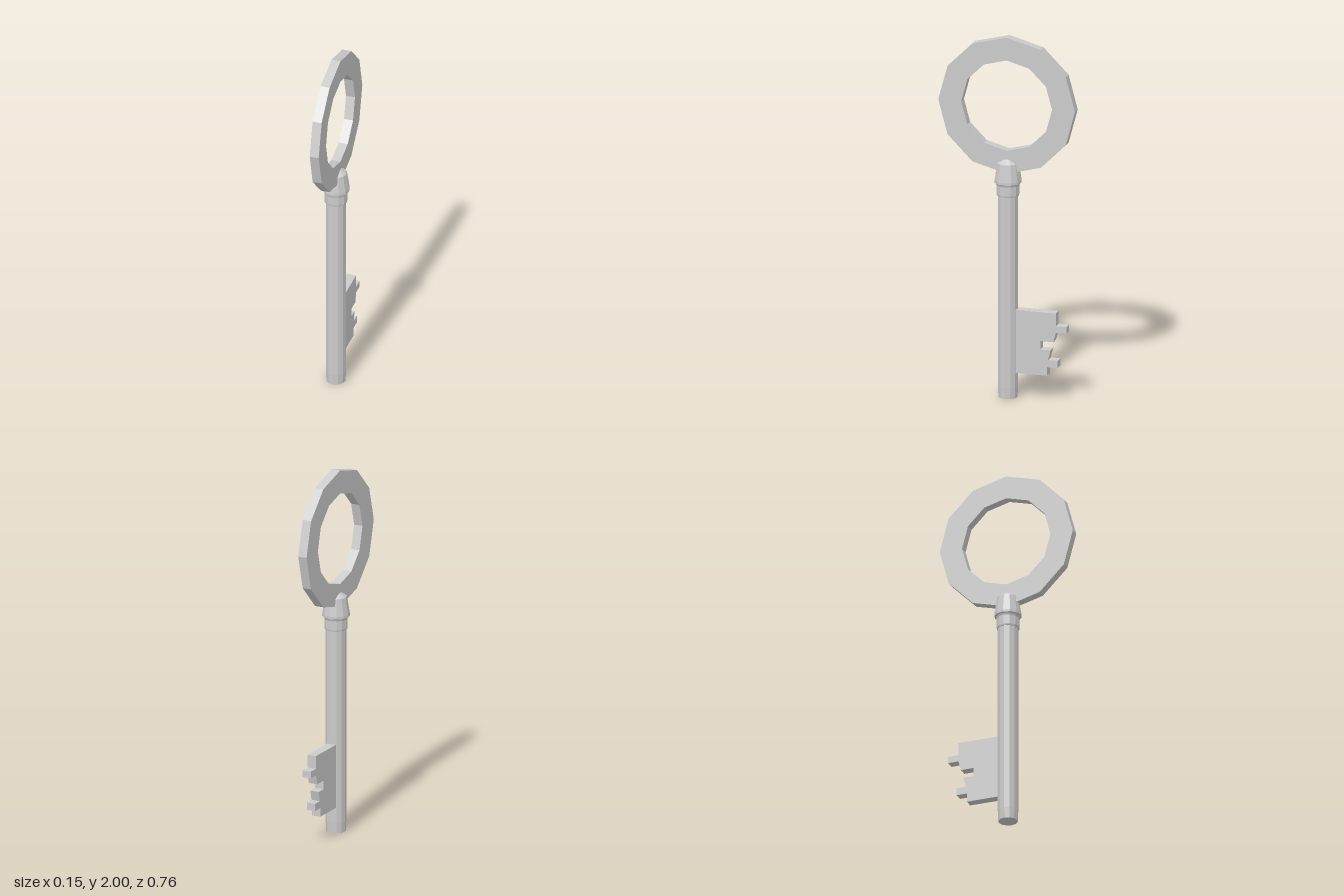
import * as THREE from 'three';

const SIDES = 12;
const THICKNESS = 0.05;

export function createModel() {
  const group = new THREE.Group();
  const material = new THREE.MeshStandardMaterial({ color: 0xcccccc, flatShading: true });

  const add = (name, geometry) => {
    const mesh = new THREE.Mesh(geometry, material);
    mesh.name = name;
    group.add(mesh);
  };
  const points = (list) => list.map(([a, b]) => new THREE.Vector2(a, b));
  const turned = (profile) => new THREE.LatheGeometry(points(profile), SIDES);

  // Flat plate in the y-z plane; shape x runs towards the back (-z)
  const plate = (shape) =>
    new THREE.ExtrudeGeometry(shape, { depth: THICKNESS, bevelEnabled: false })
      .translate(0, 0, -THICKNESS / 2)
      .rotateY(Math.PI / 2);

  const polygon = (radius, centreY) =>
    Array.from({ length: SIDES }, (_, i) => {
      const a = (i / SIDES) * Math.PI * 2;
      return new THREE.Vector2(Math.cos(a) * radius, centreY + Math.sin(a) * radius);
    });

  // Round shaft with a slightly narrowed tip
  add('shaft', turned([[0, 0], [0.052, 0], [0.055, 0.06], [0.055, 1.14]]));

  // Stepped collar with a domed cap
  add('collar', turned([
    [0.05, 1.12], [0.06, 1.12], [0.062, 1.128], [0.062, 1.178], [0.066, 1.188],
    [0.073, 1.192], [0.073, 1.205], [0.058, 1.3], [0.022, 1.326], [0, 1.33],
  ]));

  // Ring handle
  const ring = new THREE.Shape(polygon(0.378, 1.622));
  ring.holes.push(new THREE.Path(polygon(0.251, 1.622)));
  add('ringHandle', plate(ring));

  // Notched bit
  add('bit', plate(new THREE.Shape(points([
    [0.02, 0.142], [0.224, 0.142], [0.224, 0.19], [0.282, 0.19], [0.282, 0.23],
    [0.229, 0.23], [0.243, 0.285], [0.187, 0.285], [0.187, 0.332], [0.258, 0.332],
    [0.272, 0.385], [0.33, 0.385], [0.33, 0.422], [0.272, 0.422], [0.272, 0.492],
    [0.02, 0.492],
  ]))));

  return group;
}
